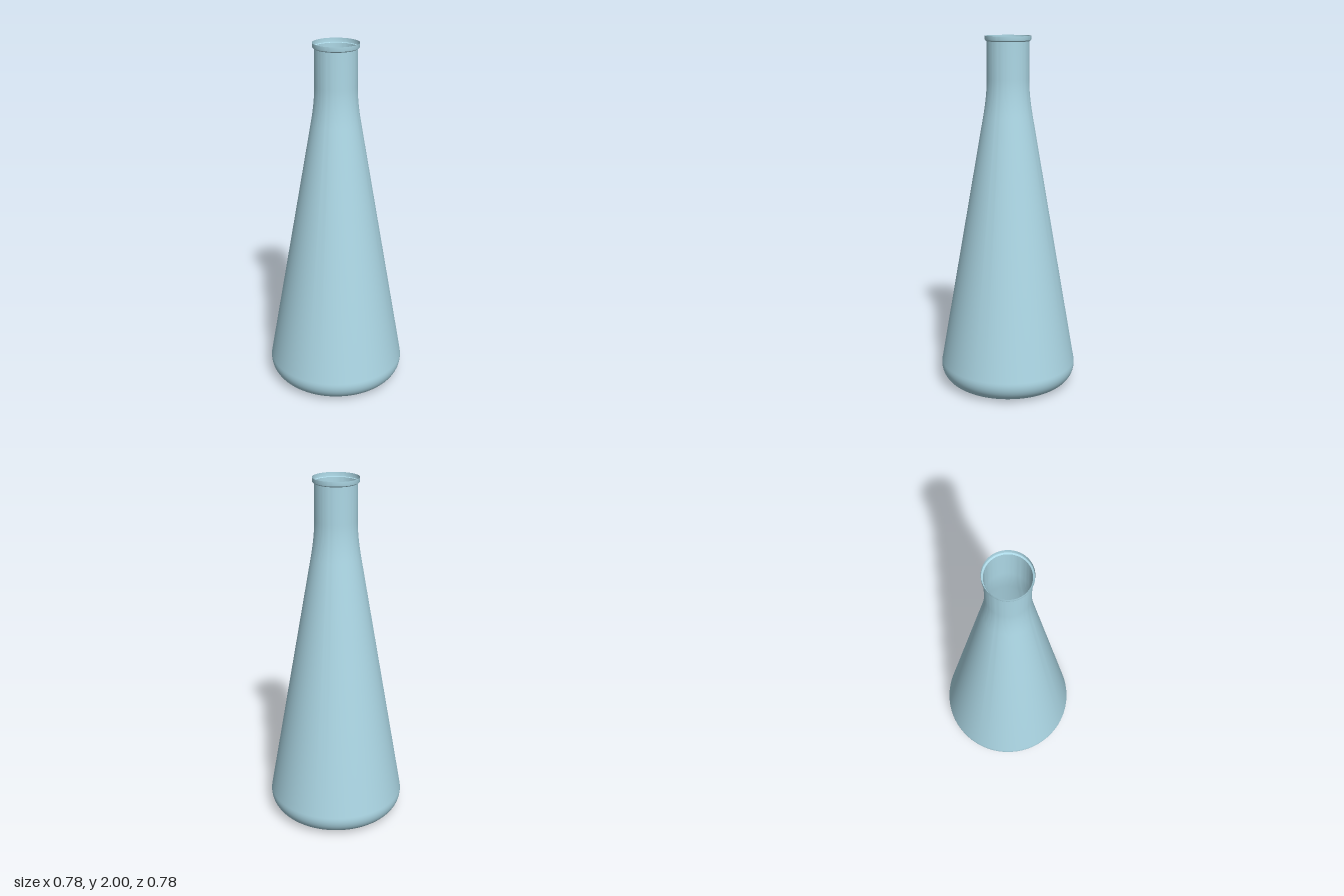
import * as THREE from 'three';
import { toCreasedNormals } from 'three/addons/utils/BufferGeometryUtils.js';

const SEGMENTS = 96;

function lathe(name, points, material) {
  const geometry = toCreasedNormals(new THREE.LatheGeometry(points, SEGMENTS), 0.6);
  const mesh = new THREE.Mesh(geometry, material);
  mesh.name = name;
  return mesh;
}

// Flat base, rounded heel, then the start of the cone
function baseProfile(inset) {
  const centre = new THREE.Vector2(0.28, 0.11);
  const radius = 0.11 - inset;
  const points = [new THREE.Vector2(0, inset)];
  for (let i = 0; i <= 14; i++) {
    const a = -Math.PI / 2 + (i / 14) * (Math.PI / 2 + 0.177);
    points.push(new THREE.Vector2(centre.x + radius * Math.cos(a), centre.y + radius * Math.sin(a)));
  }
  return points;
}

export function createModel() {
  const group = new THREE.Group();
  group.name = 'conicalFlask';
  const glass = new THREE.MeshStandardMaterial({ color: 0xadd8e6, side: THREE.DoubleSide });
  const violet = new THREE.MeshStandardMaterial({ color: 0x9430da });

  // Thin glass wall: heel, cone and curved shoulder into the neck
  const shoulder = new THREE.QuadraticBezierCurve(
    new THREE.Vector2(0.138, 1.56),
    new THREE.Vector2(0.117, 1.68),
    new THREE.Vector2(0.117, 1.77)
  );
  const wall = [...baseProfile(0), ...shoulder.getPoints(10), new THREE.Vector2(0.117, 1.975)];
  group.add(lathe('flaskBody', wall, glass));

  // Stepped lip around the mouth
  const lip = [[0.117, 1.97], [0.126, 1.976], [0.127, 1.98], [0.127, 2]].map(([r, y]) => new THREE.Vector2(r, y));
  group.add(lathe('lip', lip, glass));

  // Liquid filling the lower cone, slightly inside the wall
  const level = 0.9;
  const liquid = [...baseProfile(0.01), new THREE.Vector2(0.244, level), new THREE.Vector2(0, level)];
  group.add(lathe('liquid', liquid, violet));

  return group;
}
